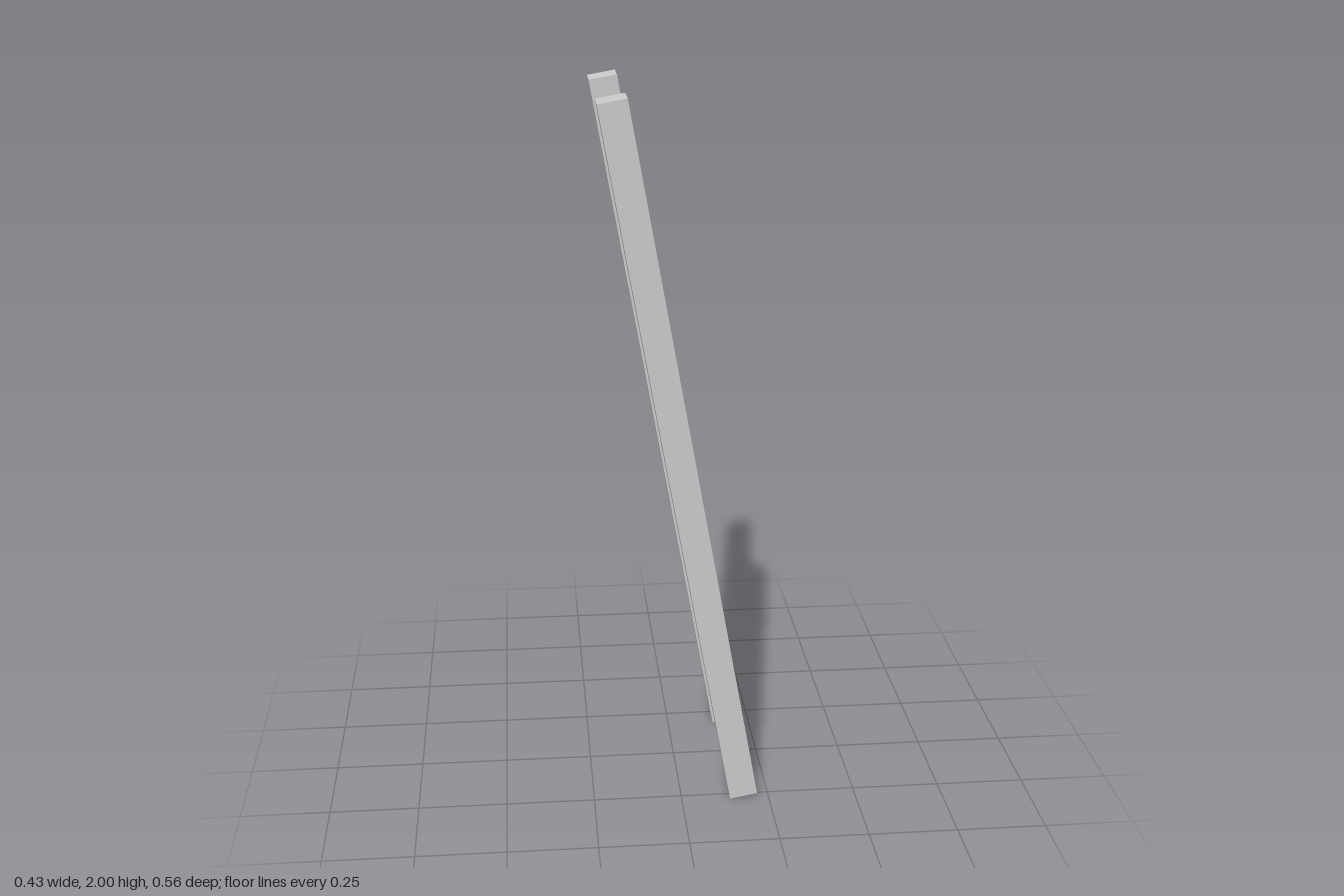
import * as THREE from 'three';

const TILT = THREE.MathUtils.degToRad(10.15);
const RAIL = { width: 0.079, length: 2.0175, depth: 0.101, z: 0.2273 };
const RUNG = { width: 0.038, height: 0.041, length: 0.354, count: 10, pitch: 0.192 };

// Box without its underside (BoxGeometry face order: +x -x +y -y +z -z, 6 indices each)
function openBottomBox(w, h, d) {
  const geometry = new THREE.BoxGeometry(w, h, d);
  const index = Array.from(geometry.index.array);
  index.splice(18, 6);
  geometry.setIndex(index);
  geometry.clearGroups();
  return geometry;
}

export function createModel() {
  const model = new THREE.Group();
  model.name = 'ladder';

  // Everything is built upright, then leaned towards -x
  const frame = new THREE.Group();
  frame.name = 'leaningFrame';
  frame.position.y = 1;
  frame.rotation.z = TILT;
  model.add(frame);

  const material = new THREE.MeshStandardMaterial({ color: 0xcccccc, flatShading: true });
  const railMaterial = material.clone();
  railMaterial.side = THREE.DoubleSide;

  // Side rails, open at the foot
  const railGeometry = openBottomBox(RAIL.width, RAIL.length, RAIL.depth);
  for (const [name, side] of [['frontRail', 1], ['backRail', -1]]) {
    const rail = new THREE.Mesh(railGeometry, railMaterial);
    rail.name = name;
    rail.position.z = side * RAIL.z;
    frame.add(rail);
  }

  // Evenly spaced rungs between the rails
  const rungGeometry = new THREE.BoxGeometry(RUNG.width, RUNG.height, RUNG.length);
  for (let i = 0; i < RUNG.count; i++) {
    const rung = new THREE.Mesh(rungGeometry, material);
    rung.name = `rung${i + 1}`;
    rung.position.y = (i - (RUNG.count - 1) / 2) * RUNG.pitch + 0.006;
    frame.add(rung);
  }

  return model;
}
